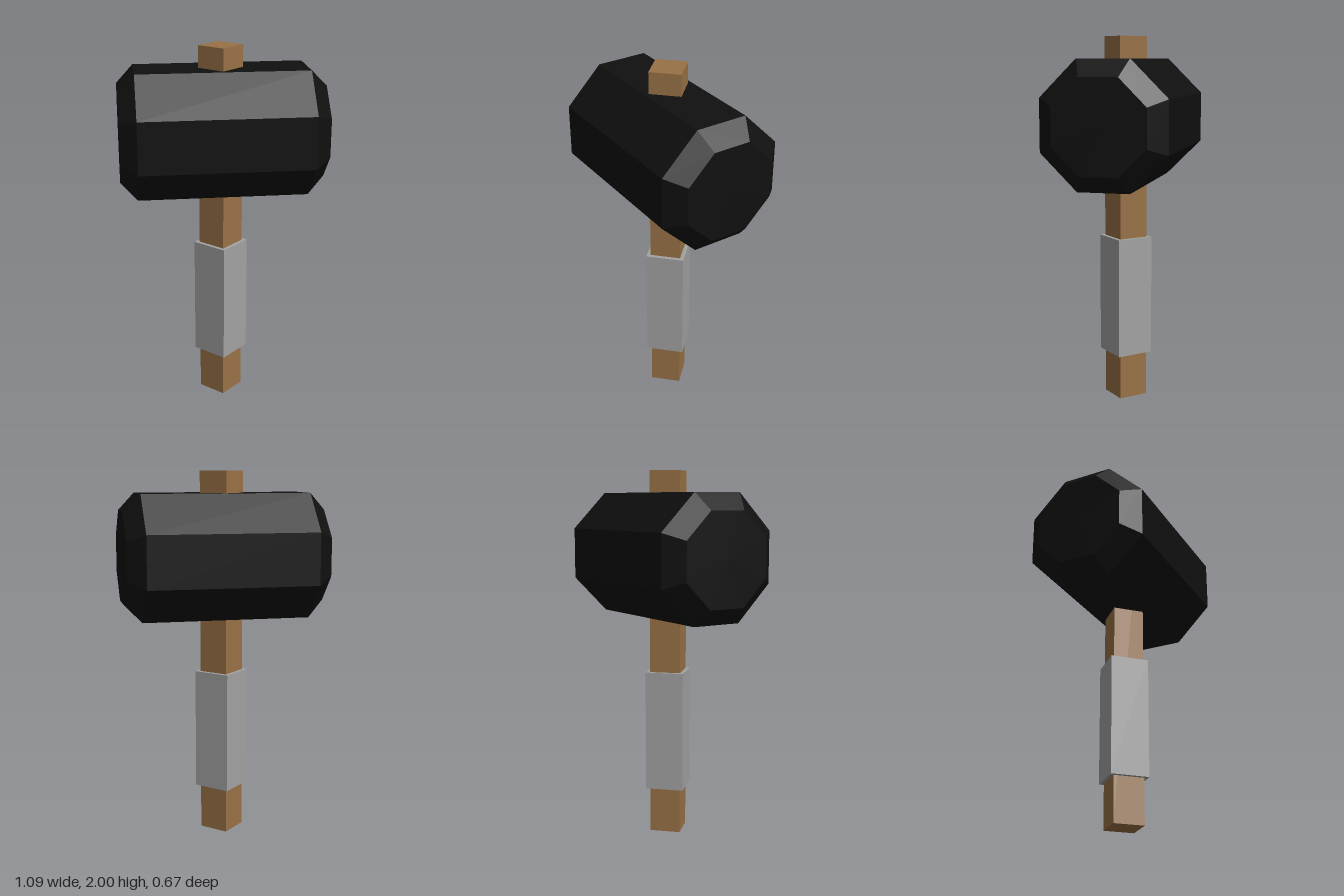
import * as THREE from 'three';

function material(name, color) {
  const m = new THREE.MeshStandardMaterial({ color, flatShading: true });
  m.name = name;
  return m;
}

// Square bar standing on one corner edge, between two heights
function diamondBar(name, halfDiagonal, y0, y1, mat) {
  const side = halfDiagonal * Math.SQRT2;
  const mesh = new THREE.Mesh(new THREE.BoxGeometry(side, y1 - y0, side), mat);
  mesh.name = name;
  mesh.rotation.y = Math.PI / 4;
  mesh.position.y = (y0 + y1) / 2;
  return mesh;
}

export function createModel() {
  const model = new THREE.Group();
  model.name = 'mallet';

  const wood = material('brownWood', 0x997246);
  const wrap = material('greyWrap', 0xa3a3a3);
  const black = material('blackHead', 0x101010);

  // Handle runs right through the head, with a thicker grip round it
  model.add(diamondBar('handle', 0.118, 0, 2, wood));
  model.add(diamondBar('grip', 0.147, 0.25, 0.91, wrap));

  // Octagonal head with bevelled ends; radii are measured to the corners
  const corner = 1 / Math.cos(Math.PI / 8);
  const profile = [
    [0, -0.545], [0.245, -0.545], [0.335, -0.455],
    [0.335, 0.455], [0.245, 0.545], [0, 0.545],
  ].map(([r, y]) => new THREE.Vector2(r * corner, y));
  const head = new THREE.Mesh(new THREE.LatheGeometry(profile, 8, Math.PI / 8), black);
  head.name = 'head';
  head.rotation.z = Math.PI / 2;
  head.position.y = 1.548;
  model.add(head);

  return model;
}
